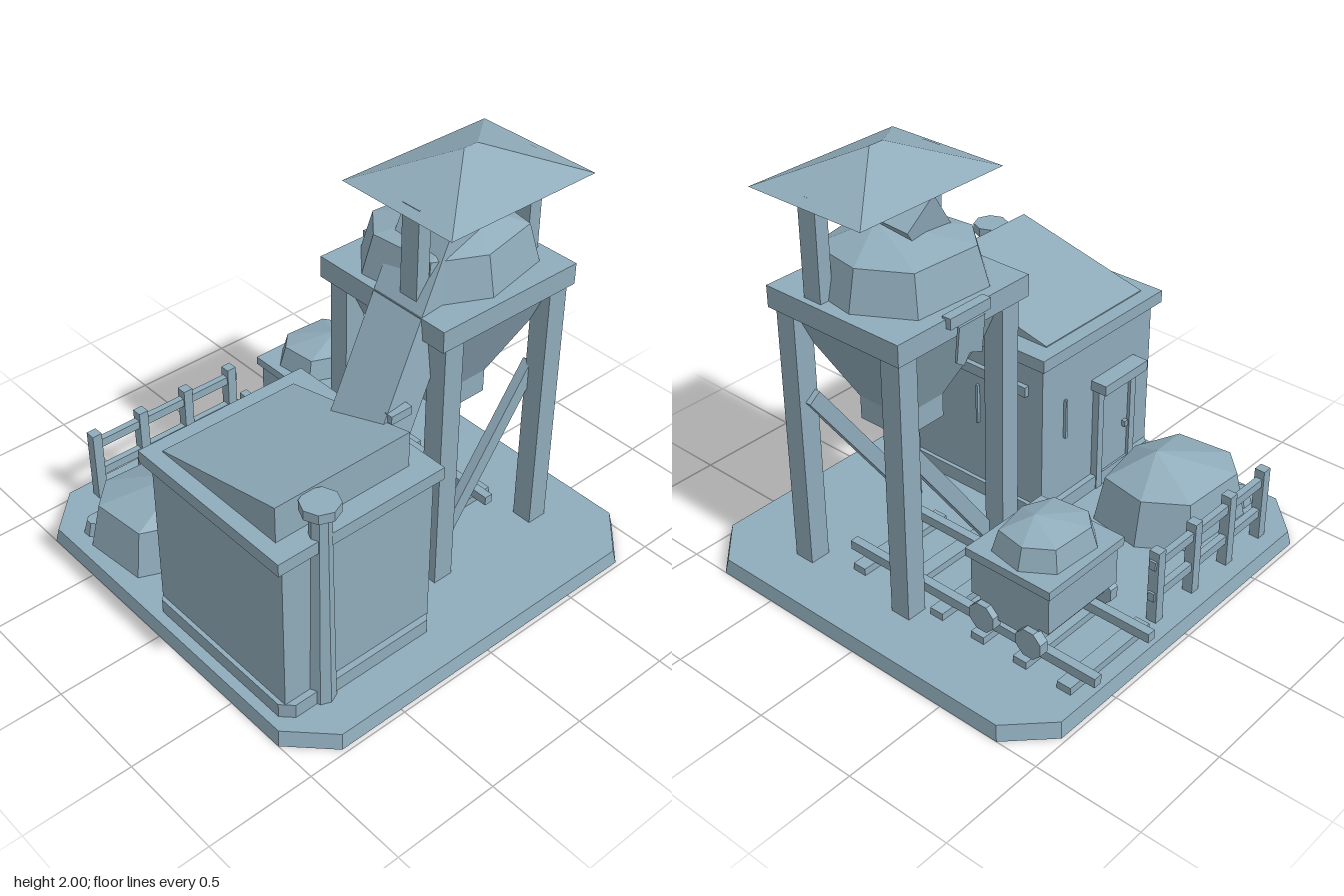
import * as THREE from 'three';

const paint = new THREE.MeshStandardMaterial({ color: 0x8fabba, flatShading: true, side: THREE.DoubleSide });
paint.name = 'slate blue';

export function createModel() {
  const root = new THREE.Group();
  root.name = 'miningYard';

  const add = (name, geometry, parent = root) => {
    const m = new THREE.Mesh(geometry, paint);
    m.name = name;
    parent.add(m);
    return m;
  };

  // Box given by its limits on each axis
  const box = (name, x0, x1, y0, y1, z0, z1, parent) => {
    const m = add(name, new THREE.BoxGeometry(x1 - x0, y1 - y0, z1 - z0), parent);
    m.position.set((x0 + x1) / 2, (y0 + y1) / 2, (z0 + z1) / 2);
    return m;
  };

  // Flat-faced solid through rings of points (clockwise from above), closed on top
  const loft = (name, rings, { apex, parent, open = false } = {}) => {
    const pos = [];
    const tri = (...p) => p.forEach((v) => pos.push(...v));
    const mean = (r) => [0, 1, 2].map((k) => r.reduce((s, p) => s + p[k], 0) / r.length);
    const n = rings[0].length;
    const last = rings[rings.length - 1];
    const bottom = mean(rings[0]);
    const top = apex || mean(last);
    for (let i = 0; i < n; i++) {
      const j = (i + 1) % n;
      for (let k = 0; k + 1 < rings.length; k++) {
        const a = rings[k][i], b = rings[k][j], c = rings[k + 1][j], d = rings[k + 1][i];
        tri(a, d, c);
        tri(a, c, b);
      }
      if (!open) tri(bottom, rings[0][i], rings[0][j]);
      tri(top, last[j], last[i]);
    }
    const g = new THREE.BufferGeometry();
    g.setAttribute('position', new THREE.Float32BufferAttribute(pos, 3));
    g.computeVertexNormals();
    return add(name, g, parent);
  };

  const rect = (cx, cz, hx, hz, y) =>
    [[-1, -1], [1, -1], [1, 1], [-1, 1]].map(([a, b]) => [cx + a * hx, y, cz + b * hz]);

  // Rectangle with cut corners
  const octagon = (cx, cz, hx, hz, c, y) =>
    [[-hx + c, -hz], [hx - c, -hz], [hx, -hz + c], [hx, hz - c],
      [hx - c, hz], [-hx + c, hz], [-hx, hz - c], [-hx, -hz + c]].map(([x, z]) => [cx + x, y, cz + z]);

  // Bar between two points; its thickness lies in the xy plane
  const beam = (name, from, to, thick, depth) => {
    const a = new THREE.Vector3(...from), b = new THREE.Vector3(...to);
    const dir = b.clone().sub(a);
    const m = add(name, new THREE.BoxGeometry(thick, dir.length(), depth));
    dir.normalize();
    const across = new THREE.Vector3(dir.y, -dir.x, 0).normalize();
    const side = across.clone().cross(dir);
    m.quaternion.setFromRotationMatrix(new THREE.Matrix4().makeBasis(across, dir, side));
    m.position.copy(a).add(b).multiplyScalar(0.5);
  };

  // Faceted heap of ore
  const outline = [[-0.19, -0.28], [0.2, -0.26], [0.34, -0.05], [0.29, 0.22],
    [-0.05, 0.28], [-0.3, 0.17], [-0.33, -0.14]];
  const heap = (name, cx, cz, sx, sz, y0, y1, y2) => {
    const ring = (s, y) => outline.map(([x, z]) => [cx + x * s * sx, y, cz + z * s * sz]);
    loft(name, [ring(1, y0), ring(0.87, y1)], { apex: [cx + 0.06 * sx, y2, cz + 0.05 * sz] });
  };

  // Ground slab, hollow underneath
  loft('groundSlab', [octagon(0, 0, 1, 0.98, 0.18, 0), octagon(0, 0, 0.988, 0.968, 0.18, 0.07)], { open: true });

  // Shed with plinth, roof slab and sloping top
  const shed = new THREE.Group();
  shed.name = 'shed';
  root.add(shed);
  loft('plinth', [octagon(-0.53, 0.34, 0.41, 0.44, 0.05, 0.06), octagon(-0.53, 0.34, 0.41, 0.44, 0.05, 0.14)], { parent: shed });
  box('walls', -0.92, -0.14, 0.1, 0.89, -0.07, 0.75, shed);
  box('roofSlab', -0.96, -0.11, 0.88, 0.94, -0.1, 0.78, shed);
  loft('slopedRoof', [rect(-0.55, 0.325, 0.34, 0.355, 0.935),
    [[-0.89, 0.945, -0.03], [-0.21, 0.945, -0.03], [-0.21, 1.11, 0.68], [-0.89, 1.11, 0.68]]], { parent: shed });
  box('wallBeam', -0.145, -0.115, 0.71, 0.76, 0.01, 0.68, shed);
  box('sideSlit', -0.145, -0.125, 0.45, 0.65, 0.3, 0.312, shed);
  box('backSlit', -0.3, -0.288, 0.45, 0.65, -0.085, -0.06, shed);

  // Door on the back wall, its block set down into the slab
  box('doorBlock', -0.74, -0.54, 0.015, 0.61, -0.09, 0.12, shed);
  for (const x of [-0.76, -0.52]) box('doorPost', x - 0.02, x + 0.02, 0.07, 0.61, -0.105, -0.06, shed);
  box('doorLintel', -0.795, -0.485, 0.61, 0.66, -0.155, -0.06, shed);
  box('doorKnob', -0.725, -0.7, 0.32, 0.35, -0.11, -0.085, shed);

  // Chimney
  const pipe = add('chimney', new THREE.CylinderGeometry(0.045, 0.062, 1, 8), shed);
  pipe.position.set(-0.73, 0.565, 0.75);
  const cap = add('chimneyCap', new THREE.CylinderGeometry(0.083, 0.083, 0.045, 8), shed);
  cap.position.set(-0.73, 1.0775, 0.75);

  // Tower legs, canopy posts, braces and platform
  for (const x of [0.11, 0.71]) {
    for (const z of [-0.05, 0.54]) box('towerLeg', x - 0.05, x + 0.05, 0.06, 1.34, z - 0.05, z + 0.05);
  }
  for (const x of [0.0925, 0.7275]) box('canopyPost', x - 0.0325, x + 0.0325, 1.43, 1.88, 0.32, 0.415);
  for (const z of [0, 0.485]) beam('brace', [0.12, 0.1, z], [0.7, 0.91, z], 0.07, 0.045);
  box('platform', 0.03, 0.79, 1.33, 1.43, -0.13, 0.605);

  // Hopper and spout
  loft('hopper', [rect(0.41, 0.245, 0.12, 0.125, 0.88), rect(0.41, 0.245, 0.34, 0.33, 1.335)]);
  box('spout', 0.29, 0.53, 0.77, 0.89, 0.12, 0.37);

  // Canopy with a short ridge
  loft('canopy', [rect(0.413, 0.328, 0.398, 0.308, 1.86), rect(0.413, 0.328, 0.038, 0.001, 2)]);

  // Conveyor chute rising out of the shed roof, with side brackets
  beam('chute', [-0.31, 0.813, 0.455], [0.41, 1.773, 0.25], 0.19, 0.275);
  for (const [x, y, z] of [[-0.15, 1.095, 0.55], [0.295, 1.69, 0.4]]) {
    box('chuteBracket', x - 0.055, x + 0.055, y - 0.02, y + 0.02, z - 0.02, z + 0.02);
  }

  // Notched flap hanging behind the platform
  box('flapBar', 0.29, 0.525, 1.39, 1.44, -0.155, -0.11);
  const notched = new THREE.Shape([[-0.075, 0.2], [0.075, 0.2], [0.075, 0.03],
    [0.03, 0], [0, 0.05], [-0.075, 0.02]].map((p) => new THREE.Vector2(...p)));
  const flap = add('flap', new THREE.ExtrudeGeometry(notched, { depth: 0.012, bevelEnabled: false }));
  flap.position.set(0.41, 1.19, -0.145);
  flap.rotation.x = -0.1;

  // Ore heaps
  heap('towerOre', 0.4, 0.24, 1, 1.14, 1.43, 1.61, 1.7);
  heap('cartOre', 0.415, -0.555, 0.62, 0.62, 0.5, 0.6, 0.65);
  heap('groundOre', -0.6, -0.46, 1, 1, 0.07, 0.29, 0.4);
  loft('looseRock', [octagon(-0.855, -0.675, 0.055, 0.045, 0.025, 0.07), octagon(-0.85, -0.67, 0.045, 0.035, 0.02, 0.14)]);

  // Track
  for (let i = 0; i < 6; i++) {
    const z = -0.865 + i * 0.23;
    box('sleeper', 0.15, 0.67, 0.06, 0.105, z - 0.035, z + 0.035);
  }
  for (const x of [0.232, 0.585]) box('rail', x - 0.021, x + 0.021, 0.105, 0.15, -0.97, 0.4);

  // Ore cart
  const cart = new THREE.Group();
  cart.name = 'oreCart';
  root.add(cart);
  box('cartBody', 0.19, 0.63, 0.27, 0.47, -0.75, -0.34, cart);
  box('cartRim', 0.17, 0.648, 0.46, 0.5, -0.767, -0.325, cart);
  box('cartFrame', 0.19, 0.63, 0.2, 0.275, -0.7, -0.39, cart);
  for (const z of [-0.67, -0.42]) {
    for (const x of [0.182, 0.638]) {
      const wheel = add('wheel', new THREE.CylinderGeometry(0.07, 0.07, 0.045, 8), cart);
      wheel.rotation.set(Math.PI / 8, 0, Math.PI / 2);
      wheel.position.set(x, 0.195, z);
    }
    box('axle', 0.18, 0.64, 0.18, 0.21, z - 0.015, z + 0.015, cart);
  }

  // Fence
  for (const x of [-0.7, -0.442, -0.185, 0.075]) box('fencePost', x - 0.024, x + 0.024, 0.07, 0.43, -0.895, -0.845);
  for (const y of [0.205, 0.367]) box('fenceRail', -0.72, 0.11, y - 0.021, y + 0.021, -0.885, -0.853);

  return root;
}
